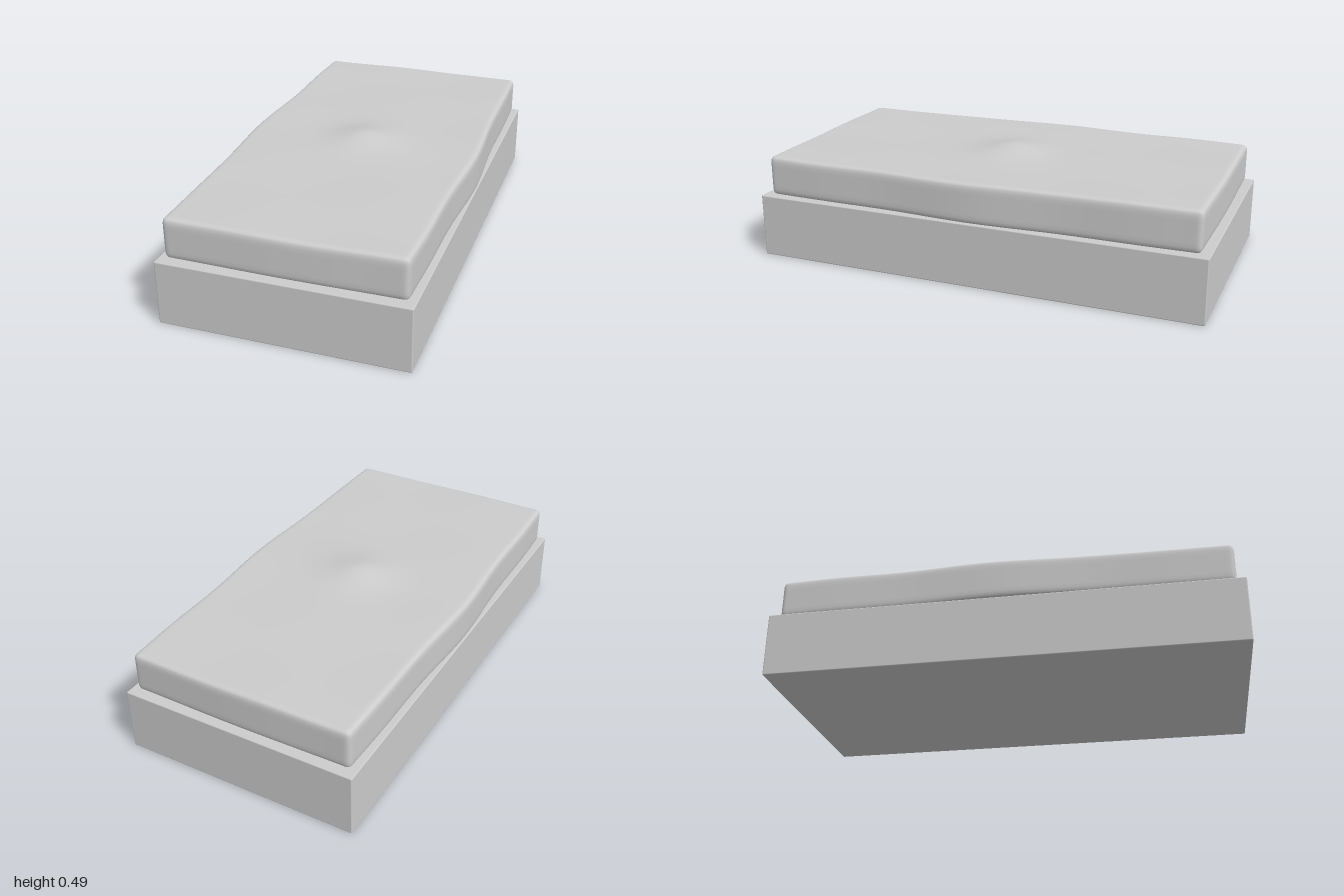
import * as THREE from 'three';
import { mergeVertices } from 'three/addons/utils/BufferGeometryUtils.js';
import { RoundedBoxGeometry } from 'three/addons/geometries/RoundedBoxGeometry.js';

const HALF = new THREE.Vector3(0.497, 0.088, 0.967); // mattress half sizes
const ROUND = 0.024;

// Soft slab: a fine box, rounded along its edges, then bulged and rippled
function mattressGeometry() {
  let geo = new THREE.BoxGeometry(2, 2, 2, 48, 12, 80);
  geo.deleteAttribute('uv');
  geo.deleteAttribute('normal');
  geo = mergeVertices(geo);

  const pos = geo.attributes.position;
  const inner = HALF.clone().subScalar(ROUND);
  const outer = inner.clone().negate();
  const p = new THREE.Vector3();
  const core = new THREE.Vector3();

  for (let i = 0; i < pos.count; i++) {
    p.fromBufferAttribute(pos, i);
    // crowd the rows towards the edges, where the rounding needs them
    p.set(Math.sin(p.x * Math.PI / 2), Math.sin(p.y * Math.PI / 2), Math.sin(p.z * Math.PI / 2));
    p.multiply(HALF);
    core.copy(p).clamp(outer, inner);
    p.sub(core).setLength(ROUND).add(core);

    const { x, y, z } = p;
    const upper = (y + HALF.y) / (2 * HALF.y);
    // long sides swell in the middle, with a slight wave
    p.x *= 1 + 0.045 * Math.exp(-((z / 0.42) ** 2)) + 0.006 * Math.cos(z * 9);
    p.z += 0.003 * Math.cos(x * 6) * Math.sign(z) * Math.abs(z);
    // central mound and gentle unevenness on the top
    const d = Math.hypot(x, z);
    const mound = 0.024 * Math.exp(-((d / 0.13) ** 2)) + 0.013 * Math.exp(-d / 0.16);
    const ripple = 0.002 * Math.sin(x * 9 + z * 4) * Math.cos(z * 7 - x * 3);
    p.y += upper * (mound + ripple);
    pos.setXYZ(i, p.x, p.y, p.z);
  }
  geo.computeVertexNormals();
  return geo;
}

export function createModel() {
  const group = new THREE.Group();
  const grey = new THREE.MeshStandardMaterial({ color: 0xcccccc });
  grey.name = 'light grey';

  // Box base with finely eased edges
  const base = new THREE.Mesh(new RoundedBoxGeometry(1.044, 0.279, 2, 2, 0.005), grey);
  base.name = 'bedBase';
  base.position.y = 0.1395;

  const mattress = new THREE.Mesh(mattressGeometry(), grey);
  mattress.name = 'mattress';
  mattress.position.y = 0.279 + HALF.y;

  group.add(base, mattress);
  return group;
}
